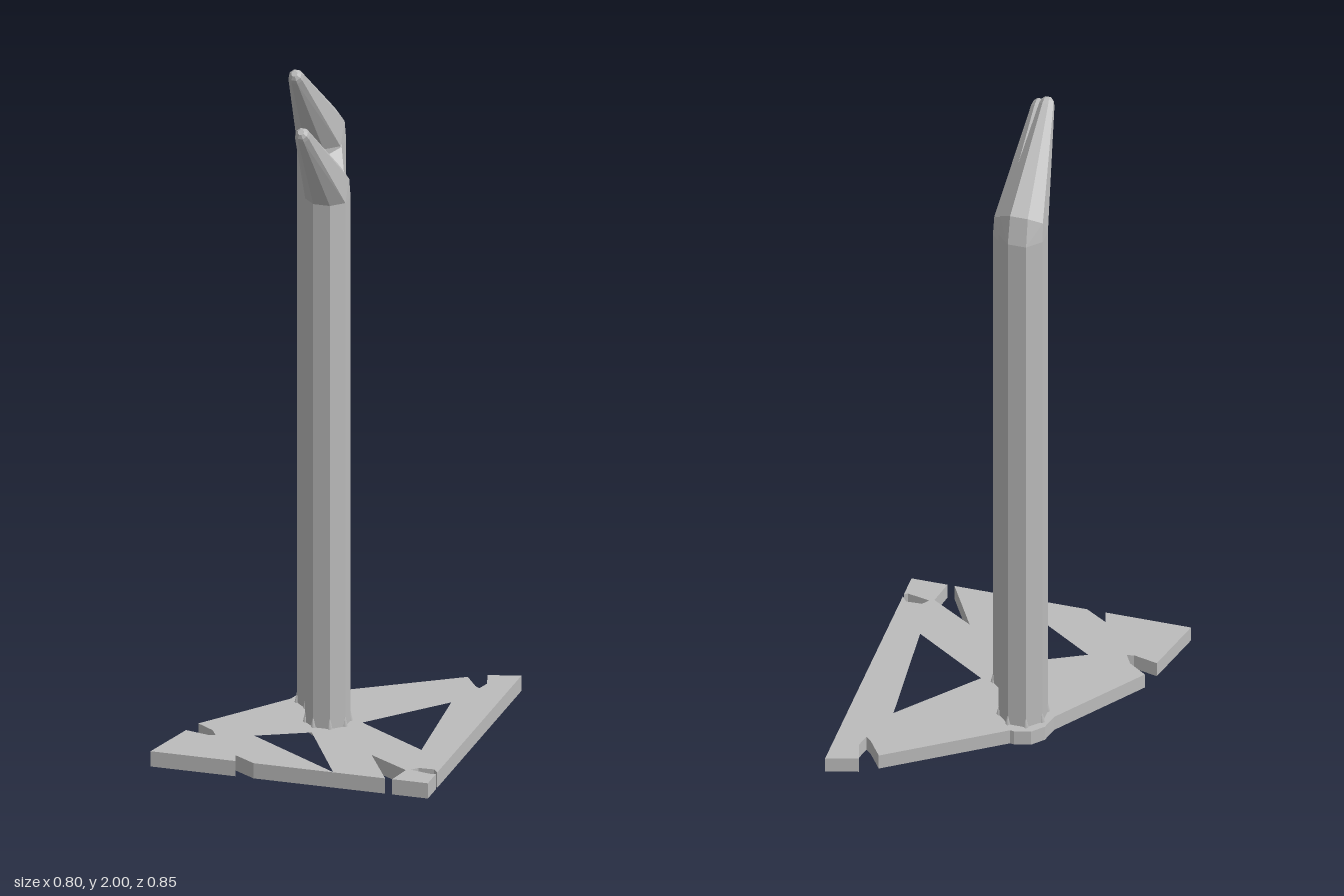
import * as THREE from 'three';
import { ConvexGeometry } from 'three/addons/geometries/ConvexGeometry.js';

export function createModel() {
  const group = new THREE.Group();
  const grey = new THREE.MeshStandardMaterial({ color: 0xbcbcbc });
  grey.name = 'grey';

  const add = (name, geometry) => {
    const mesh = new THREE.Mesh(geometry, grey);
    mesh.name = name;
    group.add(mesh);
    return mesh;
  };

  // Base plate: notched outline with two triangular cutouts, as [x, z]
  const toPoints = (list) => list.map(([x, z]) => new THREE.Vector2(x, -z));
  const outline = [
    [-0.4, 0.425], [-0.355, 0.243], [-0.285, 0.26], [-0.266, 0.255], [-0.285, 0.222], [-0.338, 0.185],
    [-0.152, -0.07], [-0.14, -0.12], [-0.11, -0.152], [-0.065, -0.164], [-0.053, -0.162],
    [0.262, -0.373], [0.302, -0.315], [0.318, -0.3], [0.328, -0.34], [0.31, -0.402], [0.4, -0.427],
    [0.4, 0.34], [0.385, 0.32], [0.34, 0.322], [0.325, 0.342], [0.39, 0.356], [0.4, 0.35],
    [0.4, 0.425], [0.297, 0.425], [0.312, 0.348], [0.188, 0.268], [0.277, 0.425],
    [-0.103, 0.425], [-0.168, 0.383], [-0.155, 0.425],
  ];
  const holes = [
    [[0.09, 0.043], [0.277, -0.176], [0.307, 0.19]],
    [[-0.163, 0.227], [-0.02, 0.156], [0.126, 0.423]],
  ];
  const plate = new THREE.Shape(toPoints(outline));
  holes.forEach((hole) => plate.holes.push(new THREE.Path(toPoints(hole))));
  const plateGeometry = new THREE.ExtrudeGeometry(plate, { depth: 0.045, bevelEnabled: false });
  add('basePlate', plateGeometry.rotateX(-Math.PI / 2));

  // Octagon corners around a centre, tilted about x
  const ring = (x, y, z, radius, tilt) => {
    const points = [];
    for (let i = 0; i < 8; i++) {
      const a = (i + 0.5) * Math.PI / 4;
      const p = new THREE.Vector3(Math.cos(a) * radius, 0, Math.sin(a) * radius);
      points.push(p.applyAxisAngle(new THREE.Vector3(1, 0, 0), tilt).add(new THREE.Vector3(x, y, z)));
    }
    return points;
  };

  const columns = [
    { name: 'front', x: -0.004, z: 0.06, flat: 0.058, elbow: 1.63, tip: [1.862, 0.293] },
    { name: 'back', x: -0.065, z: -0.074, flat: 0.063, elbow: 1.742, tip: [1.978, 0.16] },
  ];

  for (const { name, x, z, flat, elbow, tip } of columns) {
    const radius = flat / Math.cos(Math.PI / 8);
    const top = elbow - 0.04;

    // Eight-sided post
    const post = new ConvexGeometry([...ring(x, 0.02, z, radius, 0), ...ring(x, top, z, radius, 0)]);
    add(name + 'Column', post);

    // Tapered prong leaning forward to a rounded tip
    const points = [
      ...ring(x, top, z, radius, 0),
      ...ring(x, elbow, z, radius * 0.97, Math.PI / 4),
    ];
    for (const [offset, r] of [[-0.004, 0.022], [0.009, 0.018], [0.018, 0.009]]) {
      points.push(...ring(x, tip[0] + offset * 0.707, tip[1] + offset * 0.707, r, Math.PI / 4));
    }
    add(name + 'Prong', new ConvexGeometry(points));

    // Small spikes around the foot
    ring(x, 0.06, z, radius * 0.98, 0).forEach((p) => {
      add(name + 'FootSpike', new THREE.ConeGeometry(0.009, 0.04, 4)).position.copy(p);
    });
  }

  // Zigzag braces running from column centre to column centre
  const [front, back] = columns;
  const node = (column, y) => new THREE.Vector3(column.x, y, column.z);
  const side = new THREE.Vector3(back.z - front.z, 0, front.x - back.x).normalize();
  const brace = (a, b) => {
    const along = b.clone().sub(a);
    const length = along.length();
    along.normalize();
    const mesh = add('brace', new THREE.BoxGeometry(0.1, 0.042, length));
    const up = new THREE.Vector3().crossVectors(along, side);
    mesh.quaternion.setFromRotationMatrix(new THREE.Matrix4().makeBasis(side, up, along));
    mesh.position.copy(a).add(b).multiplyScalar(0.5);
  };
  const zigzag = (start, startsAtFront, count) => {
    for (let i = 0; i < count; i++) {
      const fromFront = (i % 2 === 0) === startsAtFront;
      const y = start + i * 0.151;
      brace(node(fromFront ? front : back, y), node(fromFront ? back : front, y + 0.151));
    }
  };
  zigzag(0.09, true, 5);
  zigzag(1.115, false, 4);

  return group;
}
